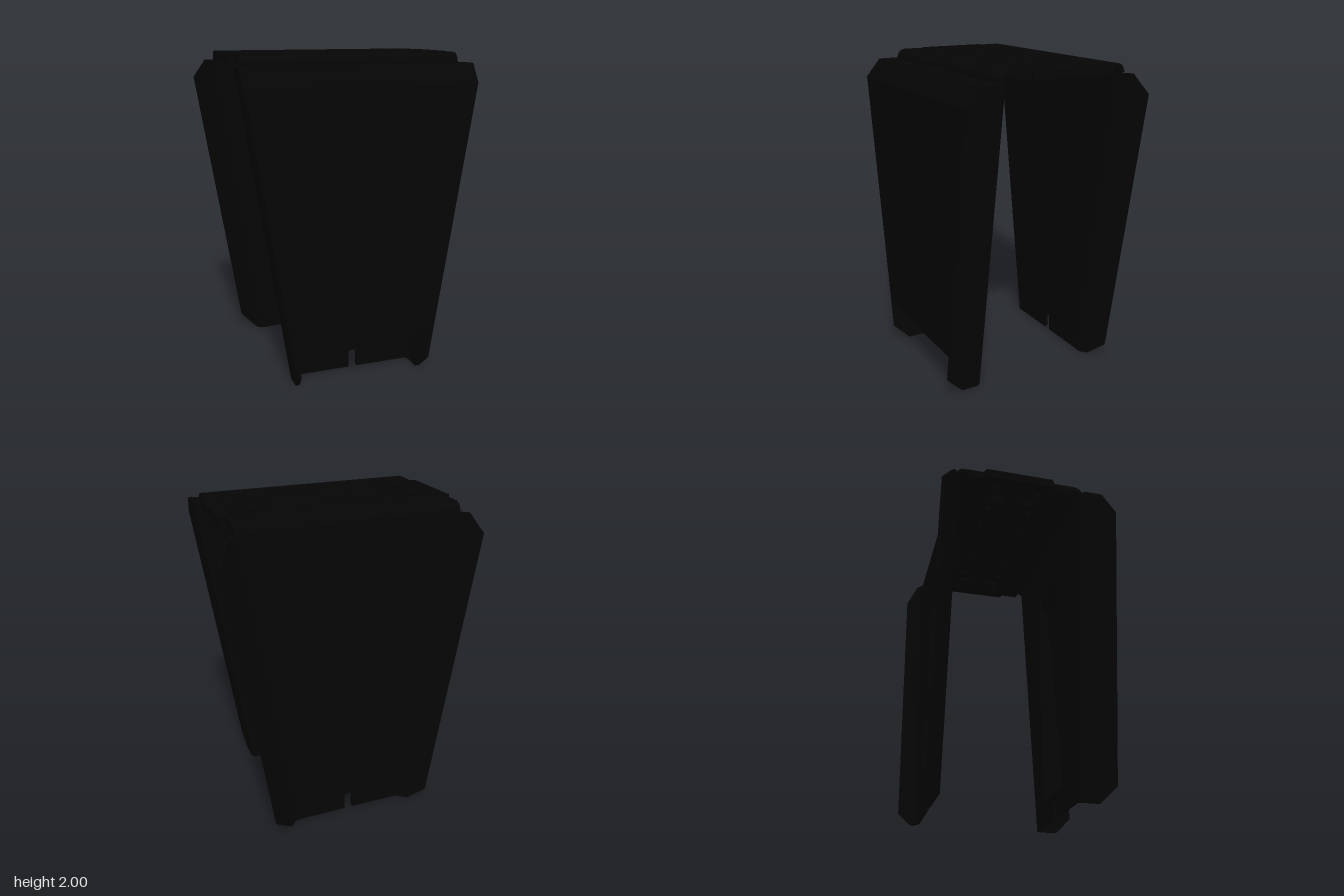
import * as THREE from 'three';
import { toCreasedNormals } from 'three/addons/utils/BufferGeometryUtils.js';

const T = 0.026;        // sheet thickness
const SLOPE = 0.157;    // taper of the legs
const HALF = 0.68;      // half width of the top
const MID = -0.0625;    // z of the joint's centre
const FRONT_FOOT = 0.42, BACK_FOOT = 0.385; // half widths of the legs at the floor
const material = new THREE.MeshStandardMaterial({ color: 0x050505, side: THREE.DoubleSide });

// z of the zigzag seam between the two top sheets, left to right
const SEAM = [[-0.715, 0.165], [-0.54, 0.165], [-0.25, -0.29], [-0.11, -0.29],
  [0.11, 0.165], [0.25, 0.165], [0.54, -0.29], [0.715, -0.29]];

function seamZ(x) {
  const i = SEAM.findIndex((p, k) => k > 0 && x <= p[0]);
  const [a, b] = [SEAM[i - 1], SEAM[i]];
  return a[1] + (b[1] - a[1]) * (x - a[0]) / (b[0] - a[0]);
}

function add(group, name, geometry) {
  const mesh = new THREE.Mesh(toCreasedNormals(geometry, 0.6), material);
  mesh.name = name;
  group.add(mesh);
}

// Round bolt holes and slots of the joint, as [x, z, radius, half straight length]
function holeList() {
  const list = [];
  for (const s of [-1, 1]) for (const e of [-1, 1]) {
    for (const x of [0.205, 0.41, 0.615]) list.push([s * x, MID + e * 0.143, 0.02, 0]);
    list.push([s * 0.515, MID + e * 0.107, 0.0225, 0.024]);
  }
  return list;
}

// Horizontal plate from an outline in x and z
function plate(outline, holes, yBottom, depth) {
  const shape = new THREE.Shape(outline.map(([x, z]) => new THREE.Vector2(x, -z)));
  for (const [x, z, r, h] of holes) {
    const path = new THREE.Path();
    path.absarc(x, -z + h, r, 0, Math.PI, false);
    path.absarc(x, -z - h, r, Math.PI, 2 * Math.PI, false);
    shape.holes.push(path);
  }
  const g = new THREE.ExtrudeGeometry(shape, { depth, bevelEnabled: false, curveSegments: 10 });
  return g.rotateX(-Math.PI / 2).translate(0, yBottom, 0);
}

// Tapered wall with an open slot at the foot and, if given, a window
function wall(foot, z0, dir, win) {
  const w = y => foot + SLOPE * y - 0.04;
  const s = new THREE.Shape();
  s.moveTo(-w(0.01), 0.01);
  s.lineTo(-0.028, 0.01);
  s.lineTo(-0.028, 0.11);
  s.quadraticCurveTo(-0.026, 0.125, 0, 0.126);
  s.quadraticCurveTo(0.026, 0.125, 0.028, 0.11);
  s.lineTo(0.028, 0.01);
  s.lineTo(w(0.01), 0.01);
  s.lineTo(w(1.945), 1.945);
  s.lineTo(-w(1.945), 1.945);
  if (win) s.holes.push(new THREE.Path(win.map(p => new THREE.Vector2(...p))));
  const g = new THREE.ExtrudeGeometry(s, { depth: T, bevelEnabled: false, curveSegments: 6 });
  return g.translate(0, 0, dir > 0 ? z0 : z0 - T);
}

// Bent side flange: path rows are [offset from taper line, distance from wall, y bottom, y top]
function flange(foot, z0, dir, side, path) {
  const rows = path.map((p, i) => {
    const a = path[Math.max(i - 1, 0)], b = path[Math.min(i + 1, path.length - 1)];
    const tx = b[0] - a[0], td = b[1] - a[1], l = Math.hypot(tx, td);
    const at = (k, y) => [side * (foot + SLOPE * y + p[0] - k * td / l), y,
      z0 + dir * (p[1] + k * tx / l)];
    return [at(0, p[2]), at(T, p[2]), at(T, p[3]), at(0, p[3])];
  });
  const pos = [];
  const quad = (a, b, c, d) => {
    const tris = side * dir > 0 ? [a, b, c, a, c, d] : [a, c, b, a, d, c];
    tris.forEach(v => pos.push(...v));
  };
  for (let i = 0; i + 1 < rows.length; i++) {
    for (let k = 0; k < 4; k++) {
      const n = (k + 1) % 4;
      quad(rows[i][k], rows[i + 1][k], rows[i + 1][n], rows[i][n]);
    }
  }
  quad(...rows[0]);
  quad(...[...rows[rows.length - 1]].reverse());
  const g = new THREE.BufferGeometry();
  g.setAttribute('position', new THREE.Float32BufferAttribute(pos, 3));
  return g;
}

// Quarter-round bend joining a wall to the top
function bend(zOuter, dir) {
  const R = 0.055;
  const s = new THREE.Shape();
  s.absarc(0, 0, R, 0, Math.PI / 2, false);
  s.absarc(0, 0, R - T, Math.PI / 2, 0, true);
  const g = new THREE.ExtrudeGeometry(s, { depth: 2 * HALF, bevelEnabled: false, curveSegments: 8 });
  g.translate(0, 0, -HALF).rotateY(dir > 0 ? -Math.PI / 2 : Math.PI / 2);
  return g.translate(0, 2 - R, zOuter - dir * R);
}

// Cover closing the front flanges: a side profile spread to the tapering width
function cover() {
  const profile = [[0.358, 1.938], [0.475, 1.938], [0.574, 1.83], [0.574, 0.27],
    [0.548, 0.27], [0.548, 1.82], [0.463, 1.912], [0.358, 1.912]];
  const shape = new THREE.Shape(profile.map(([z, y]) => new THREE.Vector2(-z, y)));
  const g = new THREE.ExtrudeGeometry(shape, { depth: 2, bevelEnabled: false });
  g.translate(0, 0, -1).rotateY(Math.PI / 2);
  const p = g.attributes.position;
  for (let i = 0; i < p.count; i++) {
    p.setX(i, p.getX(i) * (FRONT_FOOT + SLOPE * p.getY(i) - T / 2));
  }
  return g;
}

export function createModel() {
  const model = new THREE.Group();
  model.name = 'sheetMetalBracket';

  // Legs: the front one has square flanges and a window, the back one splayed flanges
  const legs = [
    { name: 'frontLeg', foot: FRONT_FOOT, z0: 0.335, dir: 1,
      win: [[-0.23, 0.17], [-0.23, 1.65], [0.23, 1.65], [0.23, 0.17]], path: [
        [-0.045, 0, 0.01, 1.94], [-0.025, 0.004, 0, 1.94], [-0.008, 0.016, 0, 1.94],
        [0, 0.04, 0, 1.94], [0, 0.14, 0, 1.94], [0, 0.24, 0.1, 1.83]] },
    { name: 'backLeg', foot: BACK_FOOT, z0: -0.445, dir: -1, path: [
      [-0.045, 0, 0.01, 1.94], [-0.015, 0.002, 0.005, 1.94], [0.01, 0.014, 0, 1.94],
      [0.045, 0.043, 0, 1.94], [0.13, 0.108, 0.09, 1.825]] },
  ];
  for (const { name, foot, z0, dir, win, path } of legs) {
    const leg = new THREE.Group();
    leg.name = name;
    add(leg, 'wall', wall(foot, z0, dir, win));
    for (const side of [-1, 1]) {
      add(leg, side > 0 ? 'leftFlange' : 'rightFlange', flange(foot, z0, dir, side, path));
    }
    add(leg, 'topBend', bend(z0 + dir * T, dir));
    model.add(leg);
  }

  add(model, 'frontCover', cover());

  // Two top sheets that interlock along the zigzag seam
  const gap = 0.003;
  const holes = holeList();
  const line = d => SEAM.map(([x, z]) => [x, z + d]);
  const backSheet = [[-HALF, -0.29], [-HALF, -0.416], [HALF, -0.416], [HALF, -0.29 - gap],
    ...line(-gap).slice(1, -1).reverse(), [-0.7, 0.165 - gap], [-0.715, 0.15],
    [-0.715, -0.275], [-0.7, -0.29]];
  const frontSheet = [[HALF, 0.165], [HALF, 0.306], [-HALF, 0.306], [-HALF, 0.165 + gap],
    ...line(gap).slice(1, -1), [0.7, -0.29 + gap], [0.715, -0.275],
    [0.715, 0.15], [0.7, 0.165]];
  const top = 2 - T;
  add(model, 'backTopSheet', plate(backSheet, holes.filter(h => h[1] < seamZ(h[0])), top, T));
  add(model, 'frontTopSheet', plate(frontSheet, holes.filter(h => h[1] > seamZ(h[0])), top, T));

  // Joint plate under the seam
  const right = [[HALF, -0.395], [HALF, -0.29], [0.7, -0.29], [0.715, -0.275],
    [0.715, 0.15], [0.7, 0.165], [HALF, 0.165], [HALF, 0.285]];
  const joint = [...right, ...right.map(([x, z]) => [-x, z]).reverse()];
  add(model, 'jointPlate', plate(joint, holes, 1.945, top - 1.945 - 0.001));

  return model;
}
